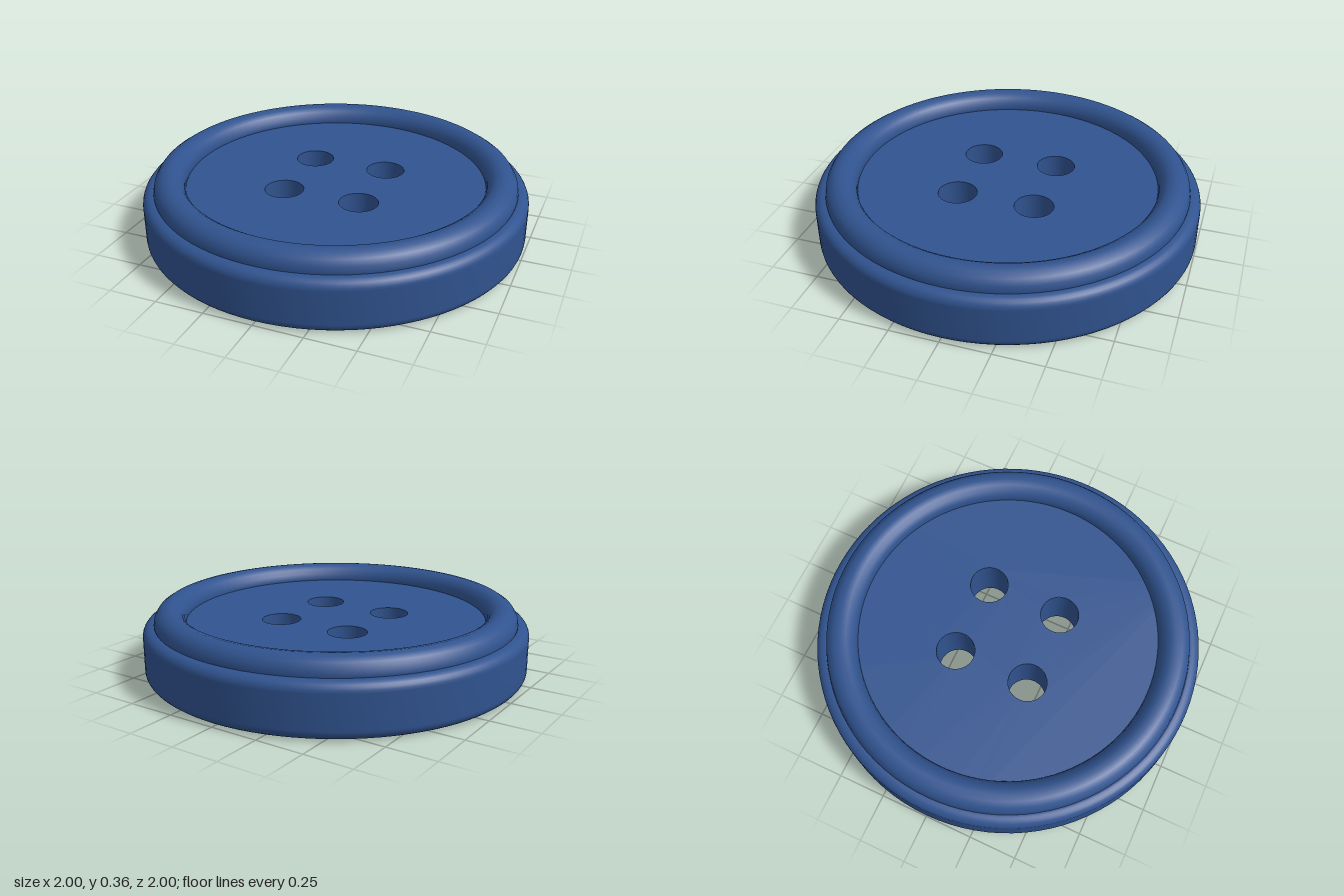
import * as THREE from 'three';

const SEGMENTS = 96;
const TOP = 0.272;      // height of the disc faces
const BEVEL = 0.05;     // rounding of the disc rim
const HOLE_R = 0.1;
const HOLE_AT = 0.204;

export function createModel() {
  const group = new THREE.Group();
  group.name = 'button';
  const blue = new THREE.MeshStandardMaterial({ color: 0x30538f });
  blue.name = 'navy blue';

  const add = (name, geometry, y = 0) => {
    const mesh = new THREE.Mesh(geometry, blue);
    mesh.name = name;
    mesh.position.y = y;
    group.add(mesh);
    return mesh;
  };

  const holes = [];
  for (const x of [-HOLE_AT, HOLE_AT]) for (const z of [-HOLE_AT, HOLE_AT]) holes.push([x, z]);

  // Disc side with rounded lower and upper edges
  const profile = [];
  for (const [cy, start] of [[BEVEL, -Math.PI / 2], [TOP - BEVEL, 0]]) {
    for (let i = 0; i <= 6; i++) {
      const a = start + (i / 6) * Math.PI / 2;
      profile.push(new THREE.Vector2(1 - BEVEL + BEVEL * Math.cos(a), cy + BEVEL * Math.sin(a)));
    }
  }
  add('discRim', new THREE.LatheGeometry(profile, SEGMENTS));

  // Flat faces pierced by the four thread holes
  const face = new THREE.Shape().absarc(0, 0, 1 - BEVEL, 0, Math.PI * 2);
  for (const [x, z] of holes) {
    face.holes.push(new THREE.Path().absarc(x, z, HOLE_R, 0, Math.PI * 2, true));
  }
  const faceGeometry = new THREE.ShapeGeometry(face, SEGMENTS / 2);
  add('topFace', faceGeometry.clone().rotateX(-Math.PI / 2), TOP);
  add('bottomFace', faceGeometry.clone().rotateX(Math.PI / 2));

  // Inward-facing hole walls (profile runs downwards)
  const wall = [new THREE.Vector2(HOLE_R, TOP), new THREE.Vector2(HOLE_R, 0)];
  for (const [x, z] of holes) {
    const mesh = add('threadHole', new THREE.LatheGeometry(wall, SEGMENTS / 2));
    mesh.position.set(x, 0, z);
  }

  // Raised rounded ring
  add('raisedRing', new THREE.TorusGeometry(0.861, 0.082, 16, SEGMENTS).rotateX(-Math.PI / 2), 0.278);

  return group;
}
